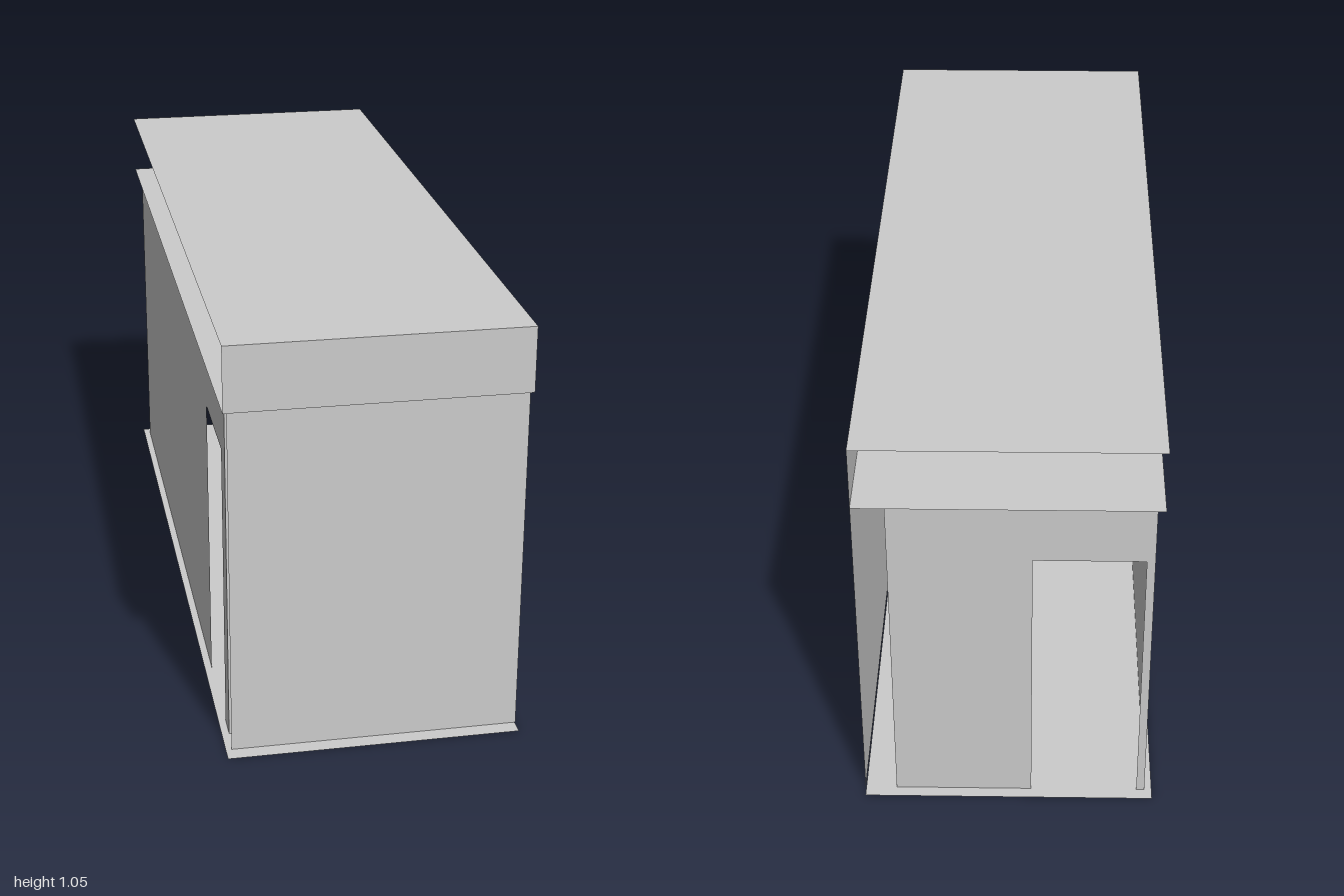
import * as THREE from 'three';

const material = new THREE.MeshStandardMaterial({ color: 0xcccccc, side: THREE.DoubleSide, flatShading: true });

// Upright sheet from (x0, z0) to (x1, z1); an optional doorway [start, end, height] is cut from the floor up
function wall(name, [x0, z0], [x1, z1], y0, y1, door) {
  const length = Math.hypot(x1 - x0, z1 - z0);
  const s = new THREE.Shape();
  s.moveTo(0, y0);
  if (door) {
    const [a, b, h] = door;
    s.lineTo(a, y0).lineTo(a, h).lineTo(b, h).lineTo(b, y0);
  }
  s.lineTo(length, y0).lineTo(length, y1).lineTo(0, y1).closePath();
  const mesh = new THREE.Mesh(new THREE.ShapeGeometry(s), material);
  mesh.name = name;
  mesh.position.set(x0, 0, z0);
  mesh.rotation.y = Math.atan2(z0 - z1, x1 - x0);
  return mesh;
}

// Level sheet, facing up or down
function slab(name, x0, x1, z0, z1, y, up = true) {
  const geometry = new THREE.PlaneGeometry(x1 - x0, z1 - z0).rotateX(up ? -Math.PI / 2 : Math.PI / 2);
  const mesh = new THREE.Mesh(geometry, material);
  mesh.name = name;
  mesh.position.set((x0 + x1) / 2, y, (z0 + z1) / 2);
  return mesh;
}

export function createModel() {
  const model = new THREE.Group();
  model.name = 'building';
  const eaves = 0.89, top = 1.05, doorTop = 0.73;

  model.add(slab('floor', -0.358, 0.356, -1, 1, 0));

  // Outer skin: solid front and left walls
  model.add(
    wall('outerFrontWall', [-0.344, 0.96], [0.358, 0.96], 0, eaves),
    wall('outerLeftWall', [0.358, 0.96], [0.358, -0.97], 0, eaves),
  );

  // Room: four walls, with doorways in the back and right walls
  const x0 = -0.34, x1 = 0.28, z0 = -0.97, z1 = 0.89;
  model.add(
    wall('innerFrontWall', [x1, z1], [x0, z1], 0, eaves),
    wall('innerLeftWall', [x1, z0], [x1, z1], 0, eaves),
    wall('backWall', [x1, z0], [x0, z0], 0, eaves, [0.337, 0.6, doorTop]),
    wall('rightWall', [x0, z0], [x0, z1], 0, eaves, [1.54, 1.8, doorTop]),
  );

  // Overhanging roof: ceiling and top sheets joined by a fascia on two sides
  model.add(
    slab('ceiling', -0.358, 0.356, -0.99, 1, eaves, false),
    slab('roofTop', -0.358, 0.356, -0.99, 1, top),
    wall('frontFascia', [-0.358, 1], [0.356, 1], eaves, top),
    wall('leftFascia', [0.356, 1], [0.356, -0.987], eaves, top),
  );
  return model;
}
